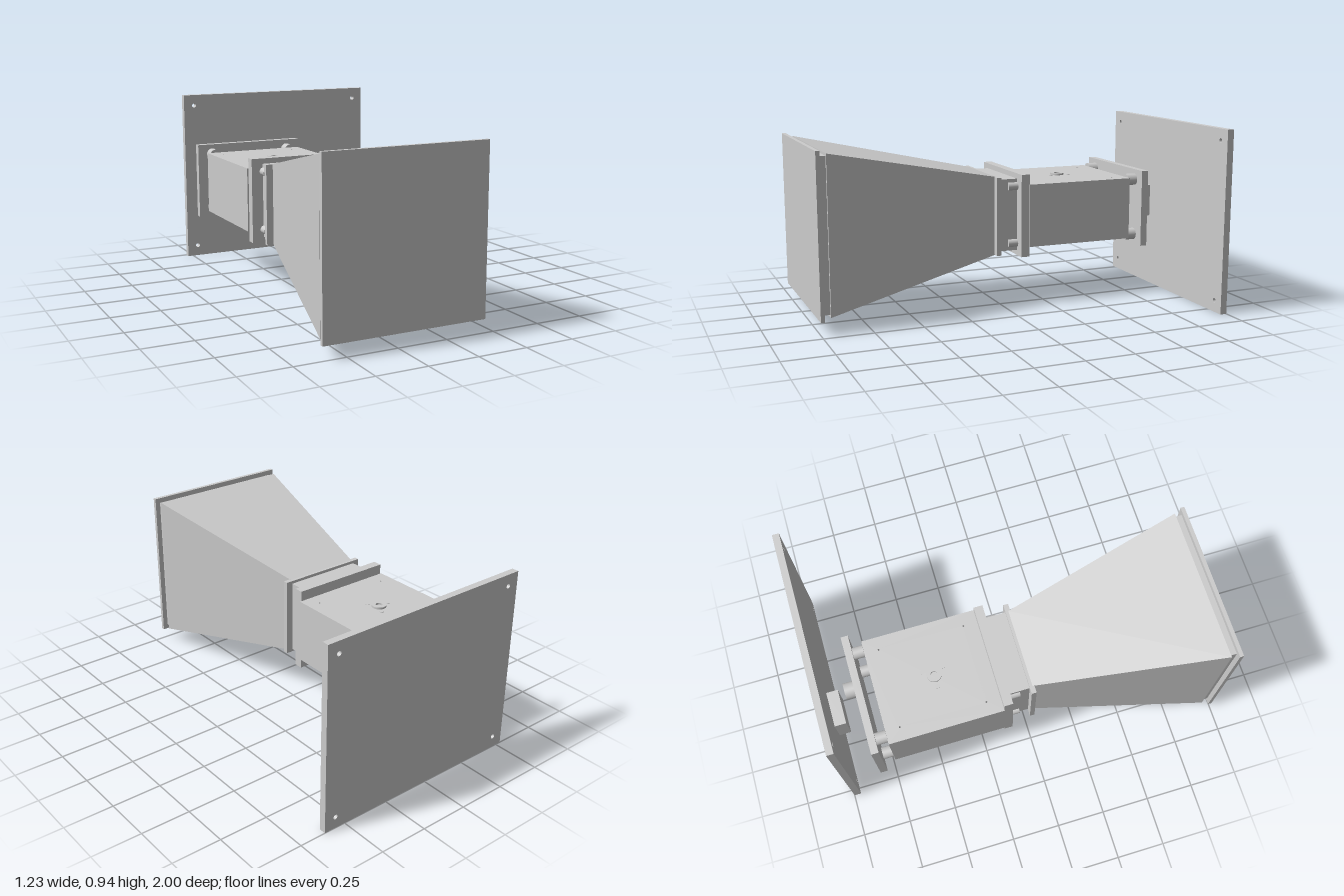
import * as THREE from 'three';

const CX = -0.205, CY = 0.475; // axis shared by the horn, neck and body
const material = new THREE.MeshStandardMaterial({ color: 0xcccccc });

export function createModel() {
  const model = new THREE.Group();

  const add = (name, geometry, x = 0, y = 0, z = 0) => {
    const mesh = new THREE.Mesh(geometry, material);
    mesh.name = name;
    mesh.position.set(x, y, z);
    model.add(mesh);
    return mesh;
  };
  // box centred on the axis, spanning z0..z1
  const block = (name, w, h, z0, z1) =>
    add(name, new THREE.BoxGeometry(w, h, z1 - z0), CX, CY, (z0 + z1) / 2);
  // round bar along z
  const rod = (name, r, x, y, z0, z1) =>
    add(name, new THREE.CylinderGeometry(r, r, z1 - z0, 32).rotateX(Math.PI / 2), x, y, (z0 + z1) / 2);
  // round bar along y
  const post = (name, r, x, z, y0, y1) =>
    add(name, new THREE.CylinderGeometry(r, r, y1 - y0, 32), x, (y0 + y1) / 2, z);
  // rectangular slab with round holes [x, y, r], extruded along +z
  const slab = (w, h, depth, holes) => {
    const s = new THREE.Shape();
    s.moveTo(-w / 2, -h / 2).lineTo(w / 2, -h / 2).lineTo(w / 2, h / 2).lineTo(-w / 2, h / 2).closePath();
    for (const [x, y, r] of holes) s.holes.push(new THREE.Path().absarc(x, y, r, 0, Math.PI * 2, true));
    return new THREE.ExtrudeGeometry(s, { depth, bevelEnabled: false, curveSegments: 24 });
  };
  const corners = (dx, dy) => [[-dx, -dy], [dx, -dy], [dx, dy], [-dx, dy]];

  // horn mouth: cover and the rim behind it
  block('apertureCover', 0.82, 0.82, 0.98, 1.0);
  block('apertureRim', 0.765, 0.765, 0.947, 0.98);

  // flared horn: a box whose front end is widened
  const horn = new THREE.BoxGeometry(1, 1, 0.927).toNonIndexed();
  const p = horn.attributes.position;
  for (let i = 0; i < p.count; i++) {
    const size = p.getZ(i) > 0 ? 0.79 : 0.41;
    p.setXY(i, p.getX(i) * size, p.getY(i) * size);
  }
  horn.computeVertexNormals();
  add('horn', horn, CX, CY, 0.4835);

  // throat flange, neck and body flange
  block('throatFlange', 0.485, 0.41, 0.005, 0.03);
  block('neck', 0.415, 0.38, -0.1, 0.006);
  block('bodyFlange', 0.535, 0.435, -0.143, -0.097);

  // flange bolts and rear standoffs, one per corner
  for (const [dx, dy] of corners(1, 0.151)) {
    rod('flangeBolt', 0.021, CX + dx * 0.204, CY + dy, -0.098, -0.045);
    rod('standoff', 0.031, CX + dx * 0.228, CY + dy, -0.785, -0.728);
  }

  // body: upper layer with pin holes, lower layer with a round pocket
  const bodyZ = -0.435, bodyD = 0.587, portZ = -0.425, pocketTop = 0.4;
  const holeAt = (r) => corners(0.207, 0.22).map(([x, y]) => [x, y, r]);
  add('bodyTop', slab(0.55, bodyD, 0.64 - pocketTop, holeAt(0.005)).rotateX(-Math.PI / 2), CX, pocketTop, bodyZ);
  add('bodyBase', slab(0.55, bodyD, pocketTop - 0.31, [...holeAt(0.012), [0, -0.01, 0.18]]).rotateX(-Math.PI / 2),
    CX, 0.31, bodyZ);

  // fittings inside the pocket
  post('pocketProbe', 0.04, CX, portZ, 0.325, 0.41);
  post('pocketPost', 0.04, CX + 0.125, portZ + 0.014, 0.325, 0.41);
  post('pocketPost', 0.04, CX - 0.03, portZ - 0.11, 0.325, 0.41);

  // top port: hollow boss with three screws around it
  const boss = [[0.017, 0], [0.037, 0], [0.037, 0.011], [0.017, 0.011], [0.017, 0]];
  const bossParts = boss.slice(1).map((b, i) =>
    new THREE.LatheGeometry([boss[i], b].map(([r, y]) => new THREE.Vector2(r, y)), 32));
  for (const g of bossParts) add('portBoss', g, CX, 0.639, portZ);
  for (let i = 0; i < 3; i++) {
    const a = Math.PI + (i * Math.PI * 2) / 3;
    post('portScrew', 0.011, CX + 0.06 * Math.cos(a), portZ + 0.06 * Math.sin(a), 0.63, 0.642);
  }

  // rear plate with its offset shaft
  add('rearPlate', new THREE.BoxGeometry(0.62, 0.41, 0.037), CX, CY, -0.8015);
  rod('shaft', 0.043, -0.107, CY, -0.88, -0.818);

  // mounting plate with corner holes, and the pad on its front
  add('mountingPlate', slab(1.145, 0.945, 0.035, corners(0.5125, 0.4125).map(([x, y]) => [x, y, 0.012])),
    0.0425, 0.4725, -1);
  block('mountingPad', 0.18, 0.175, -0.966, -0.906);

  return model;
}
